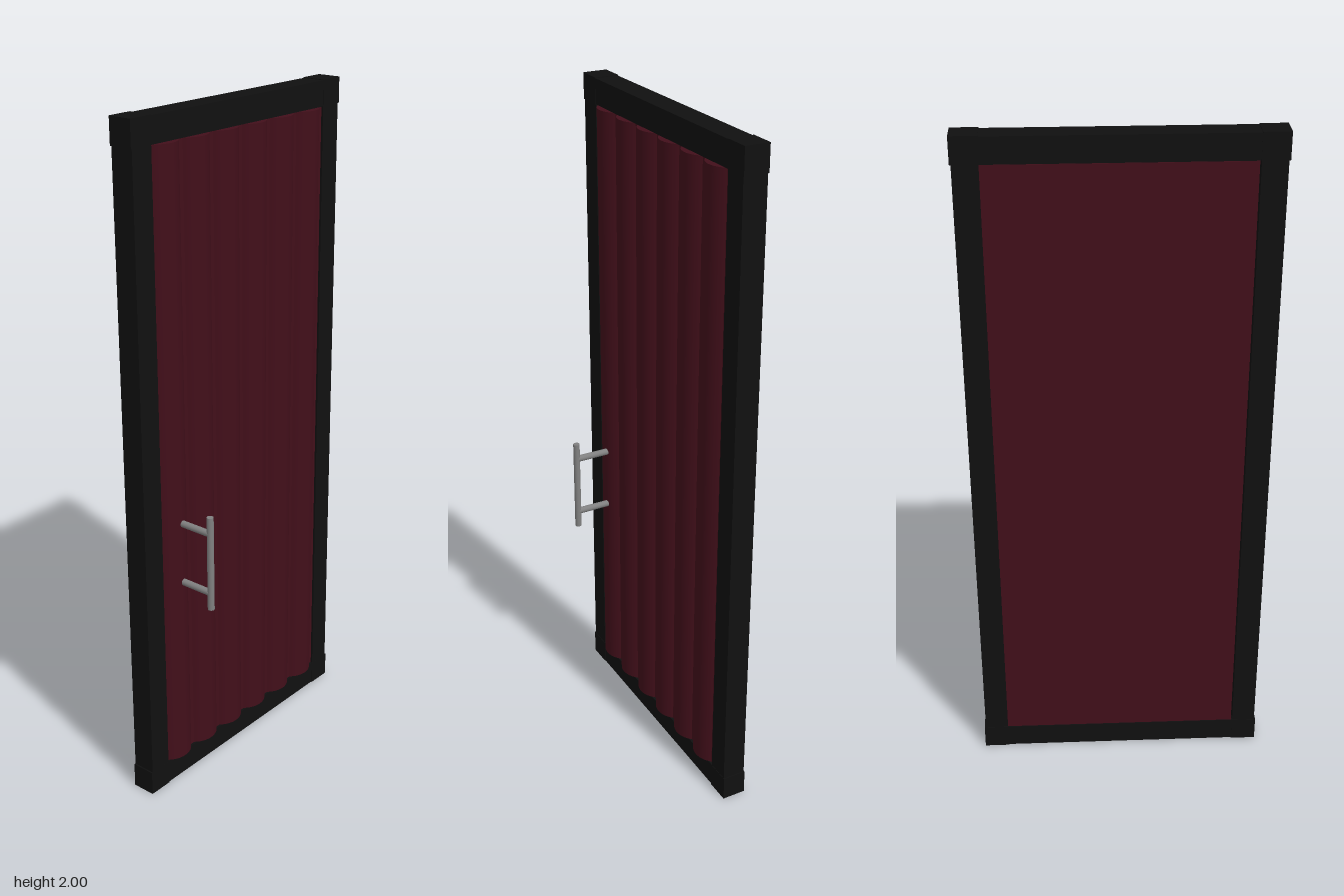
import * as THREE from 'three';

const frameMat = new THREE.MeshStandardMaterial({ color: 0x101010 });
const panelMat = new THREE.MeshStandardMaterial({ color: 0x420f1a });
const handleMat = new THREE.MeshStandardMaterial({ color: 0x808080 });

function add(parent, name, geometry, material, x, y, z) {
  const mesh = new THREE.Mesh(geometry, material);
  mesh.name = name;
  mesh.position.set(x, y, z);
  parent.add(mesh);
  return mesh;
}

// Outer frame: two posts between rails, with slightly larger corner blocks
function buildFrame() {
  const frame = new THREE.Group();
  frame.name = 'frame';
  for (const side of [-1, 1]) {
    const label = side < 0 ? 'right' : 'left';
    add(frame, label + 'Post', new THREE.BoxGeometry(0.07, 1.85, 0.07), frameMat, side * 0.393, 1, -0.065);
    for (const [level, y] of [['Bottom', 0.0375], ['Top', 1.9625]]) {
      add(frame, label + level + 'Corner', new THREE.BoxGeometry(0.075, 0.075, 0.072), frameMat, side * 0.3945, y, -0.065);
    }
  }
  for (const [name, y] of [['bottomRail', 0.0385], ['topRail', 1.9615]]) {
    add(frame, name, new THREE.BoxGeometry(0.716, 0.073, 0.07), frameMat, 0, y, -0.065);
  }
  return frame;
}

// Padded panel: flat at the back, six rounded vertical flutes at the front
function buildPanel() {
  const back = -0.099, valley = -0.036, pitch = 0.119, radius = 0.0678, half = 0.052;
  const shape = new THREE.Shape();
  shape.moveTo(-0.354, -back);
  shape.lineTo(0.358, -back);
  shape.lineTo(0.358, -valley);
  const spread = Math.asin(half / radius);
  const centreZ = -0.012 - radius;
  for (let i = 5; i >= 0; i--) {
    const cx = -0.3015 + i * pitch;
    // Shape y is minus z, so the arc bulges toward negative y
    shape.absarc(cx, -centreZ, radius, -Math.PI / 2 + spread, -Math.PI / 2 - spread, true);
  }
  shape.lineTo(-0.354, -valley);
  shape.closePath();
  const geo = new THREE.ExtrudeGeometry(shape, { depth: 1.848, bevelEnabled: false, curveSegments: 16 });
  geo.rotateX(-Math.PI / 2); // depth to +y, shape y to -z
  const panel = new THREE.Mesh(geo, panelMat);
  panel.name = 'flutedPanel';
  panel.position.y = 0.076;
  return panel;
}

// Pull handle: vertical bar on two standoffs
function buildHandle() {
  const handle = new THREE.Group();
  handle.name = 'handle';
  add(handle, 'handleBar', new THREE.CylinderGeometry(0.01, 0.01, 0.29, 20), handleMat, -0.291, 0.76, 0.09);
  for (const [name, y] of [['lowerStandoff', 0.667], ['upperStandoff', 0.853]]) {
    add(handle, name, new THREE.CylinderGeometry(0.01, 0.01, 0.11, 20), handleMat, -0.291, y, 0.035).rotation.x = Math.PI / 2;
  }
  return handle;
}

export function createModel() {
  const door = new THREE.Group();
  door.name = 'door';
  door.add(buildFrame(), buildPanel(), buildHandle());
  return door;
}
